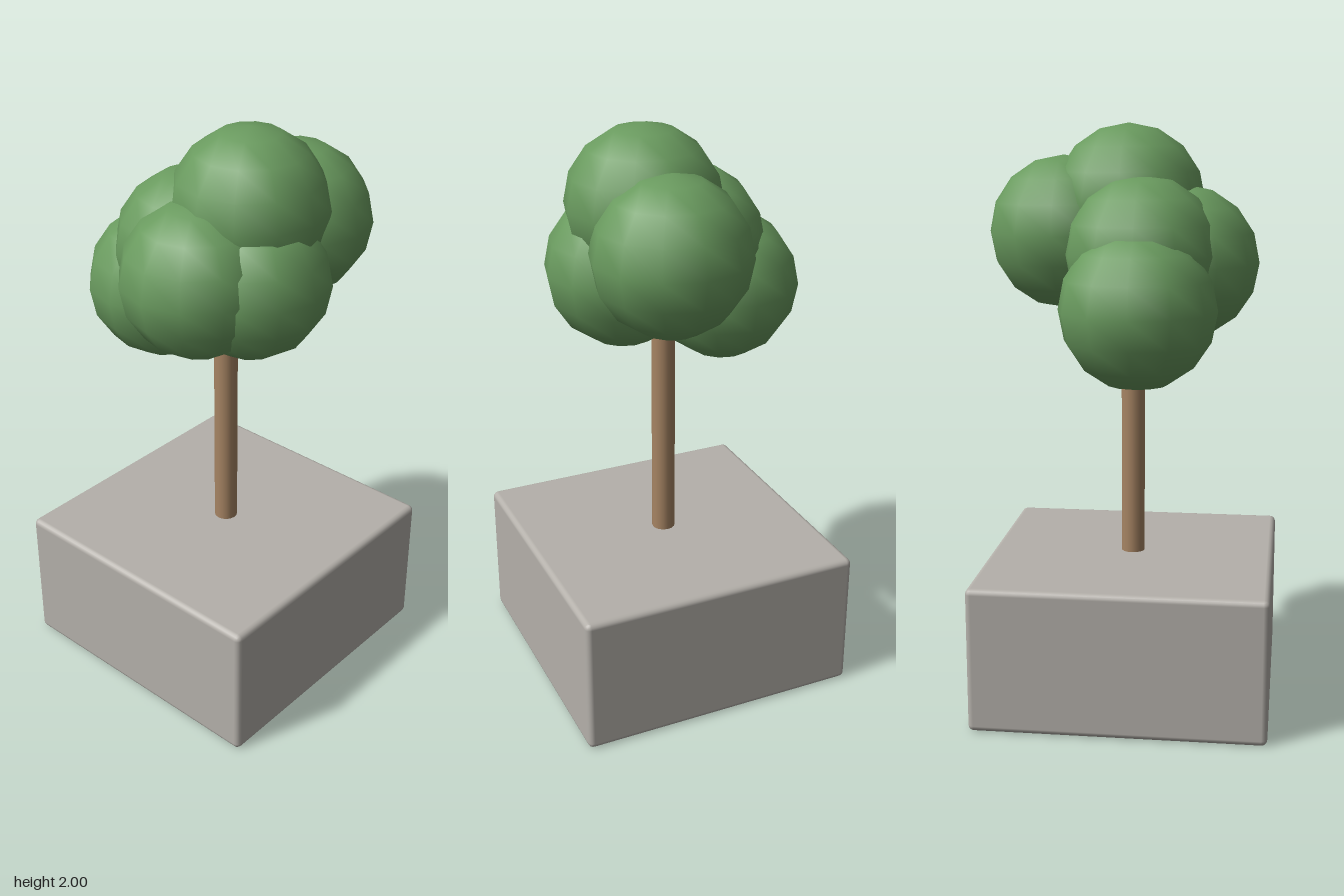
import * as THREE from 'three';
import { RoundedBoxGeometry } from 'three/addons/geometries/RoundedBoxGeometry.js';

export function createModel() {
  const model = new THREE.Group();
  model.name = 'planterTree';

  const stone = new THREE.MeshStandardMaterial({ color: 0xb4b0aa });
  const bark = new THREE.MeshStandardMaterial({ color: 0xa68463 });
  const leaves = new THREE.MeshStandardMaterial({ color: 0x6a9b5f });

  const add = (parent, name, geometry, material, x, y, z) => {
    const mesh = new THREE.Mesh(geometry, material);
    mesh.name = name;
    mesh.position.set(x, y, z);
    parent.add(mesh);
  };

  // Planter block with softened edges
  add(model, 'planter', new RoundedBoxGeometry(1, 0.5, 1, 2, 0.02), stone, -0.01, 0.252, 0);

  // Straight trunk, rooted in the planter and ending inside the crown
  add(model, 'trunk', new THREE.CylinderGeometry(0.041, 0.041, 0.9, 16), bark, -0.01, 0.93, 0.003);

  // Crown of overlapping foliage balls
  const crown = new THREE.Group();
  crown.name = 'crown';
  const ball = new THREE.SphereGeometry(0.265, 12, 8);
  const clumps = {
    topFoliage: [0.015, 1.735, 0.083],
    leftFoliage: [0.242, 1.627, 0.087],
    rightFoliage: [-0.176, 1.53, 0.033],
    frontFoliage: [-0.037, 1.51, 0.139],
    backFoliage: [-0.052, 1.568, -0.104],
    lowerBackFoliage: [-0.052, 1.396, -0.24],
  };
  for (const [name, position] of Object.entries(clumps)) {
    add(crown, name, ball, leaves, ...position);
  }
  model.add(crown);

  return model;
}
